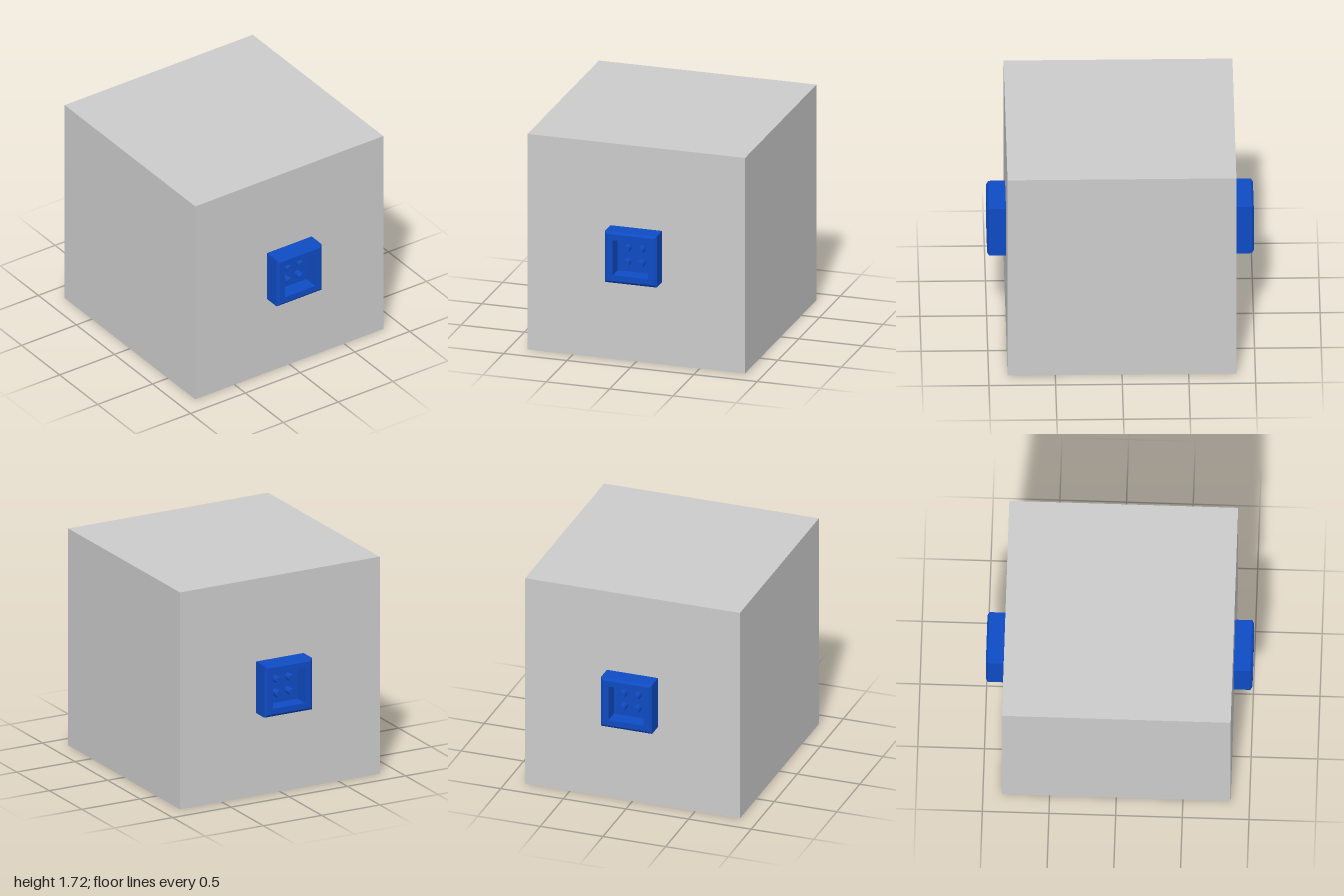
import * as THREE from 'three';

const SIZE = 1.716, HALF = SIZE / 2;

// Square socket with a chamfered rim, a recess and four contact pins, facing +z
function makeConnector(name, material) {
  const connector = new THREE.Group();
  connector.name = name;

  // Half-width and depth pairs, from the mounting face round to the recess floor
  const profile = [[0.204, HALF], [0.204, 0.985], [0.185, 1], [0.14, 1], [0.14, 0.88], [0, 0.88]]
    .map(([halfWidth, z]) => new THREE.Vector2(halfWidth * Math.SQRT2, z));
  const housing = new THREE.Mesh(new THREE.LatheGeometry(profile, 4, Math.PI / 4), material);
  housing.name = 'socketHousing';
  housing.rotation.x = Math.PI / 2;
  connector.add(housing);

  const pinGeometry = new THREE.CylinderGeometry(0.027, 0.027, 0.07, 12);
  pinGeometry.rotateX(Math.PI / 2);
  for (const x of [-0.055, 0.055]) {
    for (const y of [-0.055, 0.055]) {
      const pin = new THREE.Mesh(pinGeometry, material);
      pin.name = 'contactPin';
      pin.position.set(x, y, 0.915);
      connector.add(pin);
    }
  }
  connector.position.y = HALF;
  return connector;
}

export function createModel() {
  const model = new THREE.Group();
  model.name = 'cubeWithSockets';
  const grey = new THREE.MeshStandardMaterial({ color: 0xcccccc });
  const blue = new THREE.MeshStandardMaterial({ color: 0x0f4bc3, flatShading: true });

  // Main cube
  const body = new THREE.Mesh(new THREE.BoxGeometry(SIZE, SIZE, SIZE), grey);
  body.name = 'cubeBody';
  body.position.y = HALF;
  model.add(body);

  // Matching sockets on front and back
  const front = makeConnector('frontConnector', blue);
  const back = makeConnector('backConnector', blue);
  back.rotation.y = Math.PI;
  model.add(front, back);
  return model;
}
